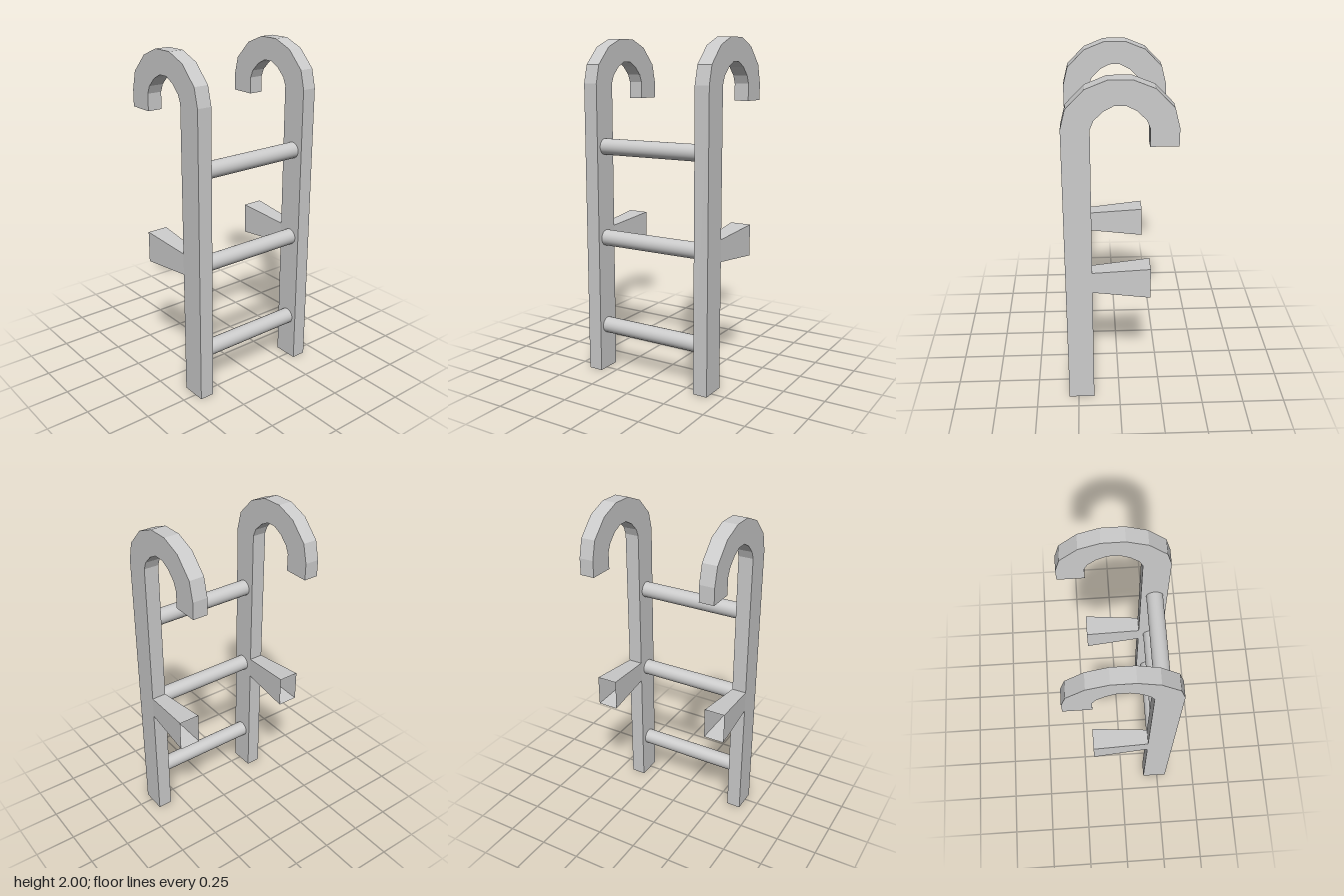
import * as THREE from 'three';

const material = new THREE.MeshStandardMaterial({ color: 0xcccccc, flatShading: true, side: THREE.DoubleSide });
const smoothMaterial = new THREE.MeshStandardMaterial({ color: 0xcccccc, side: THREE.DoubleSide });

// Open-ended square tube: each section is [outerX, outerY, innerX, innerY, halfDepth]
function squareTube(sections) {
  const rings = sections.map(([ox, oy, ix, iy, d]) => [[ox, oy, d], [ix, iy, d], [ix, iy, -d], [ox, oy, -d]]);
  const positions = [];
  for (let i = 0; i < rings.length - 1; i++) {
    for (let k = 0; k < 4; k++) {
      const n = (k + 1) % 4;
      const a = rings[i][k], b = rings[i][n], c = rings[i + 1][n], d = rings[i + 1][k];
      positions.push(...b, ...a, ...d, ...b, ...d, ...c);
    }
  }
  const geometry = new THREE.BufferGeometry();
  geometry.setAttribute('position', new THREE.Float32BufferAttribute(positions, 3));
  geometry.computeVertexNormals();
  return geometry;
}

function addMesh(parent, name, geometry, mat = material) {
  const mesh = new THREE.Mesh(geometry, mat);
  mesh.name = name;
  parent.add(mesh);
  return mesh;
}

export function createModel() {
  const model = new THREE.Group();
  model.name = 'hookLadder';

  // Rail: straight post, then a faceted arch mirrored across x = 0
  const depth = 0.044;
  const halfArch = [
    [0.307, 1.742, 0.155, 1.742, depth],
    [0.28, 1.85, 0.136, 1.788, depth],
    [0.18, 1.953, 0.087, 1.837, depth],
    [0.063, 2, 0.031, 1.866, depth],
  ];
  const otherHalf = halfArch.map(([ox, oy, ix, iy, d]) => [-ox, oy, -ix, iy, d]).reverse();
  const railGeometry = squareTube([
    [0.307, 0, 0.155, 0, depth],
    ...halfArch,
    ...otherHalf,
    [-0.307, 1.644, -0.155, 1.644, depth],
  ]);

  // Stand-off: flares away from the rail, open at the far end
  const standoffGeometry = squareTube([
    [0.155, 0.886, 0.155, 0.757, depth],
    [-0.173, 0.915, -0.173, 0.727, 0.0625],
  ]);

  for (const [side, z] of [['front', 0.37], ['back', -0.37]]) {
    addMesh(model, side + 'HookedRail', railGeometry).position.z = z;
    addMesh(model, side + 'Standoff', standoffGeometry).position.z = z;
  }

  // Round rungs between the rails
  const rungGeometry = new THREE.CylinderGeometry(0.048, 0.048, 0.655, 32, 1, true).rotateX(Math.PI / 2);
  ['lowerRung', 'middleRung', 'upperRung'].forEach((name, i) => {
    addMesh(model, name, rungGeometry, smoothMaterial).position.set(0.233, 0.275 + i * 0.55, 0);
  });

  return model;
}
